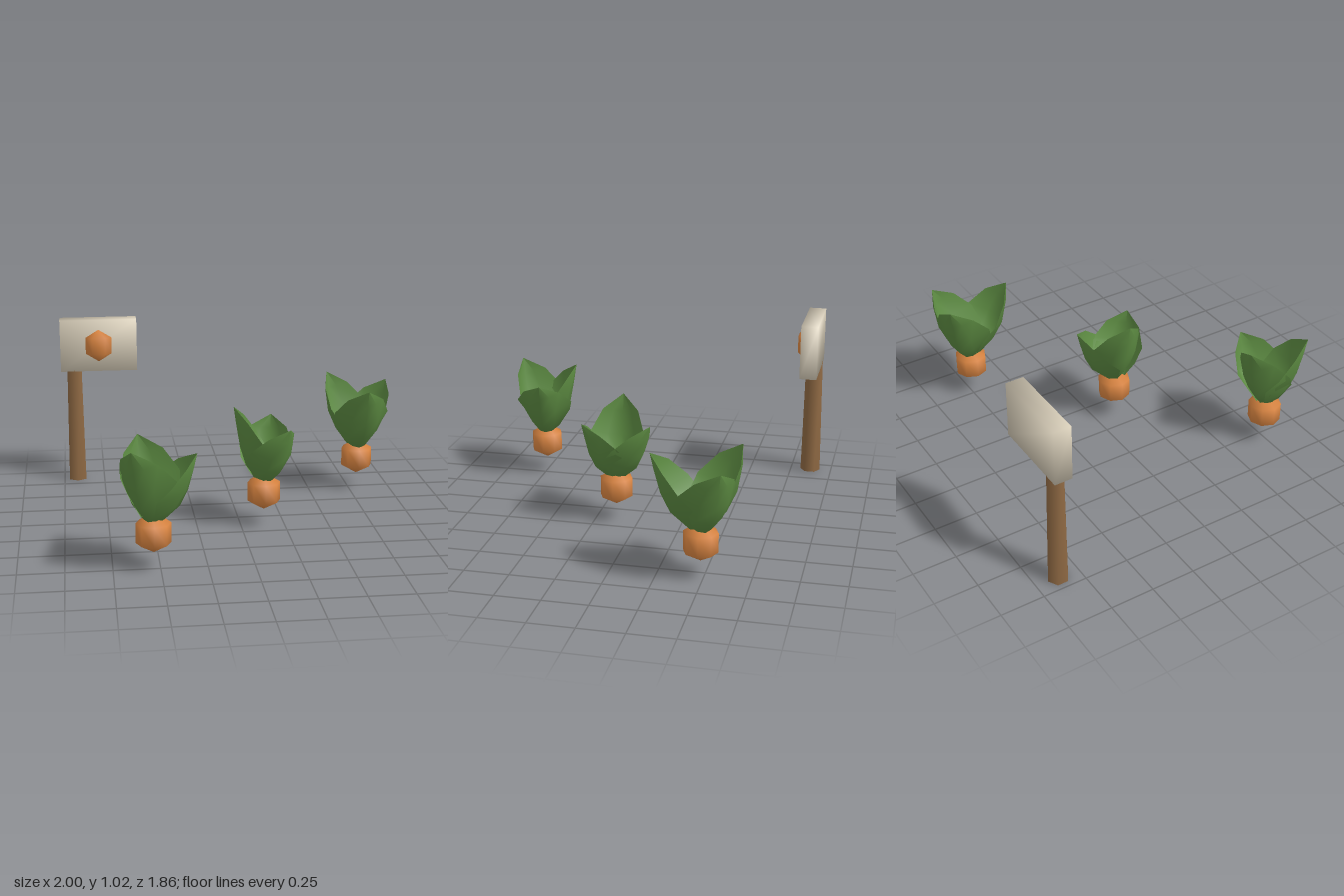
import * as THREE from 'three';
import { mergeVertices } from 'three/addons/utils/BufferGeometryUtils.js';

const paint = (name, color, side = THREE.FrontSide) => {
  const m = new THREE.MeshStandardMaterial({ color, side });
  m.name = name;
  return m;
};

// Weld all corners so that shading flows across the edges
function soften(geometry) {
  geometry.deleteAttribute('normal');
  geometry.deleteAttribute('uv');
  const g = mergeVertices(geometry, 1e-4);
  g.computeVertexNormals();
  return g;
}

// Box whose corner normals point diagonally outward, for a pillowy shading
function pillowBox(w, h, d) {
  const g = new THREE.BoxGeometry(w, h, d);
  const p = g.attributes.position, n = 1 / Math.sqrt(3);
  for (let i = 0; i < p.count; i++) {
    g.attributes.normal.setXYZ(i, Math.sign(p.getX(i)) * n, Math.sign(p.getY(i)) * n, Math.sign(p.getZ(i)) * n);
  }
  return g;
}

function add(parent, name, geometry, material, x = 0, y = 0, z = 0) {
  const mesh = new THREE.Mesh(geometry, material);
  mesh.name = name;
  mesh.position.set(x, y, z);
  parent.add(mesh);
  return mesh;
}

// Leaf sections from base to tip: reach, height, width, cup (all fractions)
const SECTIONS = [
  [0, 0.13, 0.2, 0],
  [0.25, 0.05, 0.46, 0.4],
  [0.6, 0.24, 0.86, 0.88],
  [0.79, 0.48, 1, 0.72],
  [0.92, 0.78, 0.66, 0.36],
  [1, 1, 0.01, 0],
];
const BASE_Y = 0.25;

// Cupped leaf that grows out along +z, its sides curling inward and up
function leafGeometry(reach, tipY, halfWidth) {
  const cols = 4, pos = [], index = [];
  for (const [r, h, w, cup] of SECTIONS) {
    for (let i = 0; i <= cols; i++) {
      const u = (i / cols) * 2 - 1;
      const curl = cup * halfWidth * u * u;
      pos.push(u * w * halfWidth, BASE_Y + h * (tipY - BASE_Y) + 0.45 * curl, r * reach - curl);
    }
  }
  for (let j = 0; j < SECTIONS.length - 1; j++) {
    for (let i = 0; i < cols; i++) {
      const a = j * (cols + 1) + i, b = a + cols + 1;
      index.push(a, a + 1, b + 1, a, b + 1, b);
    }
  }
  const g = new THREE.BufferGeometry();
  g.setAttribute('position', new THREE.Float32BufferAttribute(pos, 3));
  g.setIndex(index);
  g.computeVertexNormals();
  return g;
}

// Each plant: position, leaf half width, leaf tips as x, y, z from its centre
const PLANTS = [
  { x: -0.535, z: 0.745, width: 0.168, tips: [[0.235, 0.615, -0.025], [-0.115, 0.69, 0.18], [-0.065, 0.685, -0.18]] },
  { x: 0.132, z: 0.132, width: 0.155, tips: [[-0.172, 0.7, -0.002], [0.125, 0.6, 0.17], [0.07, 0.595, -0.21]] },
  { x: 0.798, z: -0.482, width: 0.165, tips: [[0.012, 0.67, 0.27], [-0.16, 0.695, -0.185], [0.2, 0.65, -0.13]] },
];

export function createModel() {
  const model = new THREE.Group();
  model.name = 'vegetablePatch';
  const orange = paint('carrotOrange', 0xdd8742);
  const green = paint('leafGreen', 0x5e8d43, THREE.DoubleSide);
  const wood = paint('postBrown', 0x906a44);
  const cream = paint('boardCream', 0xdad0bb);

  // Carrot plants
  const rootGeometry = soften(new THREE.SphereGeometry(0.108, 8, 3));
  for (const { x, z, width, tips } of PLANTS) {
    const plant = new THREE.Group();
    plant.name = 'carrotPlant';
    plant.position.set(x, 0, z);
    add(plant, 'root', rootGeometry, orange, 0, 0.2, 0);
    for (const [tx, ty, tz] of tips) {
      const leaf = add(plant, 'leaf', leafGeometry(Math.hypot(tx, tz), ty, width), green);
      leaf.rotation.y = Math.atan2(tx, tz);
    }
    model.add(plant);
  }

  // Sign: tapered post, board and a carrot-coloured knob on its front
  const sign = new THREE.Group();
  sign.name = 'sign';
  add(sign, 'post', soften(new THREE.CylinderGeometry(0.048, 0.06, 0.9, 6)), wood, -0.917, 0.45, -0.87);
  add(sign, 'board', pillowBox(0.47, 0.32, 0.1), cream, -0.765, 0.865, -0.87);
  const knob = add(sign, 'knob', soften(new THREE.SphereGeometry(0.1, 6, 3)), orange, -0.765, 0.865, -0.821);
  knob.scale.set(0.93, 1, 0.48);
  model.add(sign);

  return model;
}
